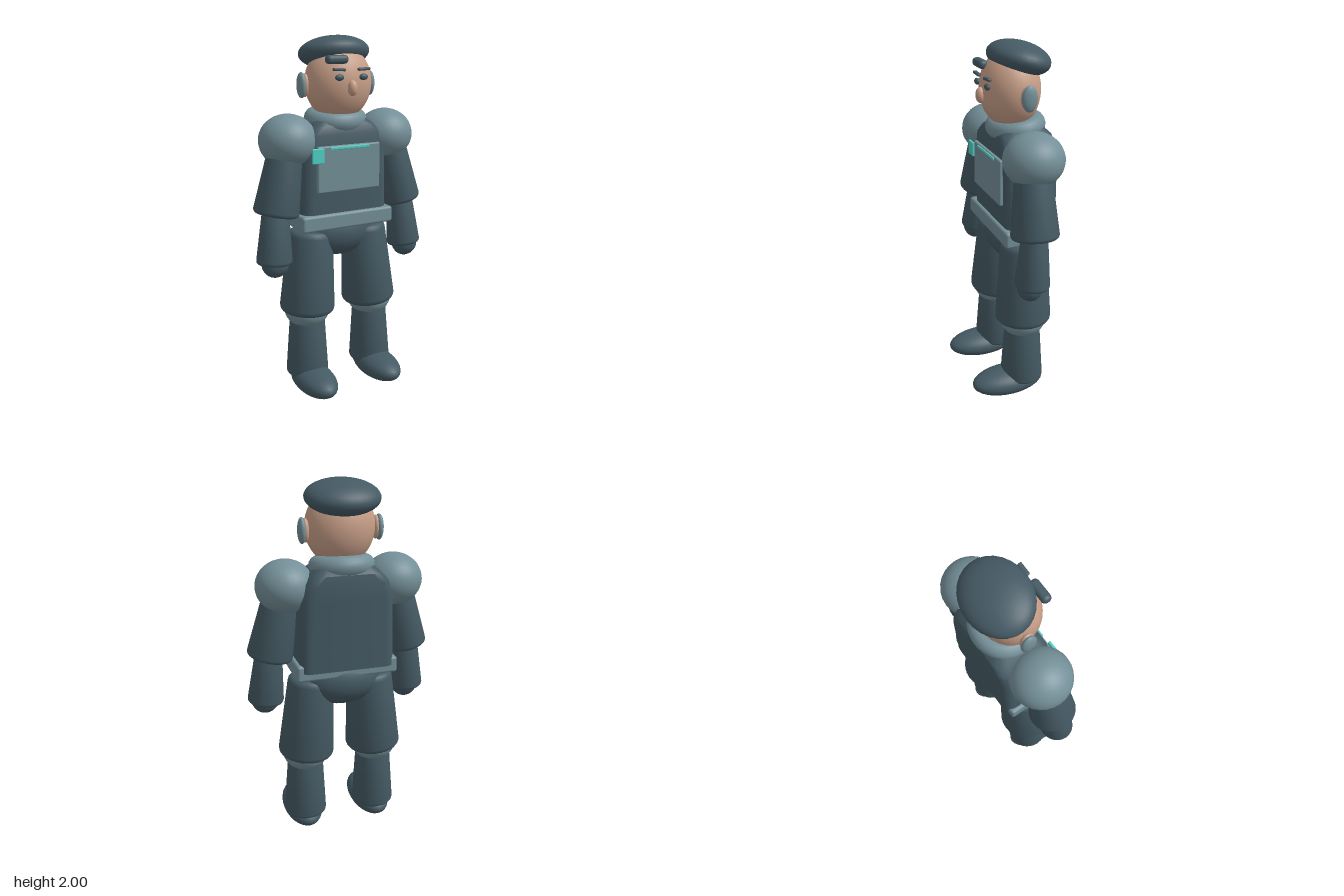
import * as THREE from 'three';
import { toCreasedNormals } from 'three/addons/utils/BufferGeometryUtils.js';
import { RoundedBoxGeometry } from 'three/addons/geometries/RoundedBoxGeometry.js';

const paint = (name, color) => {
  const m = new THREE.MeshStandardMaterial({ color });
  m.name = name;
  return m;
};

export function createModel() {
  const model = new THREE.Group();
  model.name = 'guard';
  const dark = paint('dark slate', 0x455a64);
  const grey = paint('blue grey', 0x748f98);
  const skin = paint('skin', 0xc89f88);
  const teal = paint('teal', 0x4fd0c5);

  const add = (name, geo, mat, pos, rot = [0, 0, 0]) => {
    const mesh = new THREE.Mesh(geo, mat);
    mesh.name = name;
    mesh.position.set(...pos);
    mesh.rotation.set(...rot);
    model.add(mesh);
    return mesh;
  };
  const ball = (name, mat, pos, radii, rot) => {
    const geo = new THREE.SphereGeometry(1, 28, 20);
    geo.scale(...radii);
    return add(name, geo, mat, pos, rot);
  };
  const block = (name, mat, pos, size, r, rot) =>
    add(name, new RoundedBoxGeometry(...size, 3, r), mat, pos, rot);

  // Tapered limb with rounded rims, running from bottom point a to top point b
  const limb = (name, mat, a, b, ra, rb, depth = 1, rim = 0.022) => {
    const from = new THREE.Vector3(...a), to = new THREE.Vector3(...b);
    const len = from.distanceTo(to);
    const pts = [new THREE.Vector2(0, 0)];
    for (let i = 0; i <= 4; i++) {
      const t = (i / 4) * Math.PI / 2;
      pts.push(new THREE.Vector2(ra - rim + rim * Math.sin(t), rim - rim * Math.cos(t)));
    }
    for (let i = 0; i <= 4; i++) {
      const t = (i / 4) * Math.PI / 2;
      pts.push(new THREE.Vector2(rb - rim + rim * Math.cos(t), len - rim + rim * Math.sin(t)));
    }
    pts.push(new THREE.Vector2(0, len));
    const geo = new THREE.LatheGeometry(pts, 28);
    geo.scale(1, 1, depth);
    const mesh = add(name, toCreasedNormals(geo, 0.7), mat, a);
    mesh.quaternion.setFromUnitVectors(new THREE.Vector3(0, 1, 0), to.sub(from).normalize());
  };

  // Stack of rounded rectangles: [y, half width, back z, front z, corner radius]
  const loft = (levels) => {
    const pos = [], idx = [], steps = 5, n = steps * 4;
    for (const [y, w, z0, z1, r] of levels) {
      for (let q = 0; q < 4; q++) {
        const cx = (q === 0 || q === 3 ? 1 : -1) * (w - r);
        const cz = q < 2 ? z1 - r : z0 + r;
        for (let s = 0; s < steps; s++) {
          const t = (q + s / (steps - 1)) * Math.PI / 2;
          pos.push(cx + r * Math.cos(t), y, cz + r * Math.sin(t));
        }
      }
    }
    const last = (levels.length - 1) * n, low = levels.length * n;
    for (const l of [levels[0], levels[levels.length - 1]]) pos.push(0, l[0], (l[2] + l[3]) / 2);
    for (let i = 0; i < n; i++) {
      const j = (i + 1) % n;
      for (let k = 0; k < last; k += n) idx.push(k + i, k + n + i, k + j, k + n + i, k + n + j, k + j);
      idx.push(low, i, j, low + 1, last + j, last + i);
    }
    const geo = new THREE.BufferGeometry();
    geo.setAttribute('position', new THREE.Float32BufferAttribute(pos, 3));
    geo.setIndex(idx);
    return toCreasedNormals(geo, 0.6);
  };

  // Torso, belt and pelvis
  add('torso', loft([
    [1.02, 0.26, -0.232, 0.06, 0.055],
    [1.4, 0.25, -0.235, 0.065, 0.055],
    [1.49, 0.225, -0.235, 0.062, 0.055],
    [1.535, 0.185, -0.23, 0.05, 0.055],
    [1.565, 0.15, -0.2, 0.02, 0.05],
  ]), dark, [0, 0, 0]);
  block('belt', grey, [0, 1.017, -0.067], [0.56, 0.09, 0.295], 0.015);
  ball('pelvis', dark, [0, 0.93, -0.08], [0.235, 0.15, 0.152]);
  block('chestPlate', grey, [0, 1.31, 0.06], [0.38, 0.25, 0.045], 0.008);
  block('chestStripe', teal, [0, 1.423, 0.085], [0.235, 0.015, 0.009], 0.003);
  block('chestBadge', teal, [-0.195, 1.39, 0.094], [0.068, 0.08, 0.014], 0.004);

  // Collar ring, raised at the back
  const ring = new THREE.TorusGeometry(0.122, 0.054, 16, 40);
  ring.rotateX(Math.PI / 2);
  ring.scale(1, 1, 0.9);
  add('collar', ring, grey, [0, 1.56, -0.085], [0.12, 0, 0]);

  // Head, face and cap
  ball('head', skin, [0, 1.755, -0.052], [0.187, 0.205, 0.158]);
  ball('nose', skin, [0, 1.735, 0.11], [0.026, 0.041, 0.026]);
  ball('beret', dark, [0, 1.91, -0.1], [0.2, 0.086, 0.164], [-0.22, 0, 0]);
  block('beretBadge', dark, [-0.077, 1.88, 0.08], [0.125, 0.045, 0.05], 0.02);

  for (const s of [1, -1]) {
    const side = s > 0 ? 'left' : 'right';
    ball(side + 'Eye', dark, [s * 0.071, 1.79, 0.1], [0.025, 0.017, 0.014]);
    block(side + 'Eyebrow', dark, [s * 0.073, 1.83, 0.1], [0.072, 0.015, 0.022], 0.006, [0, 0, s * 0.05]);
    ball(side + 'Ear', skin, [s * 0.19, 1.745, -0.07], [0.022, 0.062, 0.038]);
    ball(side + 'EarPad', grey, [s * 0.208, 1.745, -0.073], [0.022, 0.068, 0.042]);

    // Arm
    ball(side + 'ShoulderPad', grey, [s * 0.3, 1.46, -0.058], [0.157, 0.142, 0.16]);
    limb(side + 'UpperArm', dark, [s * 0.39, 1.068, -0.032], [s * 0.315, 1.44, -0.045], 0.125, 0.092, 1.02);
    limb(side + 'Forearm', dark, [s * 0.416, 0.8, -0.008], [s * 0.393, 1.09, -0.028], 0.1, 0.076, 0.92);
    ball(side + 'Hand', dark, [s * 0.415, 0.81, 0.004], [0.077, 0.08, 0.068]);

    // Leg
    limb(side + 'Thigh', dark, [s * 0.203, 0.47, -0.055], [s * 0.168, 0.95, -0.067], 0.157, 0.128, 1, 0.035);
    ball(side + 'Knee', grey, [s * 0.205, 0.49, -0.053], [0.13, 0.115, 0.133]);
    limb(side + 'Shin', dark, [s * 0.21, 0.09, -0.047], [s * 0.205, 0.46, -0.05], 0.122, 0.1);
    ball(side + 'Foot', dark, [s * 0.21, 0.078, 0.04], [0.111, 0.077, 0.216], [-0.03, 0, 0]);
  }
  return model;
}
